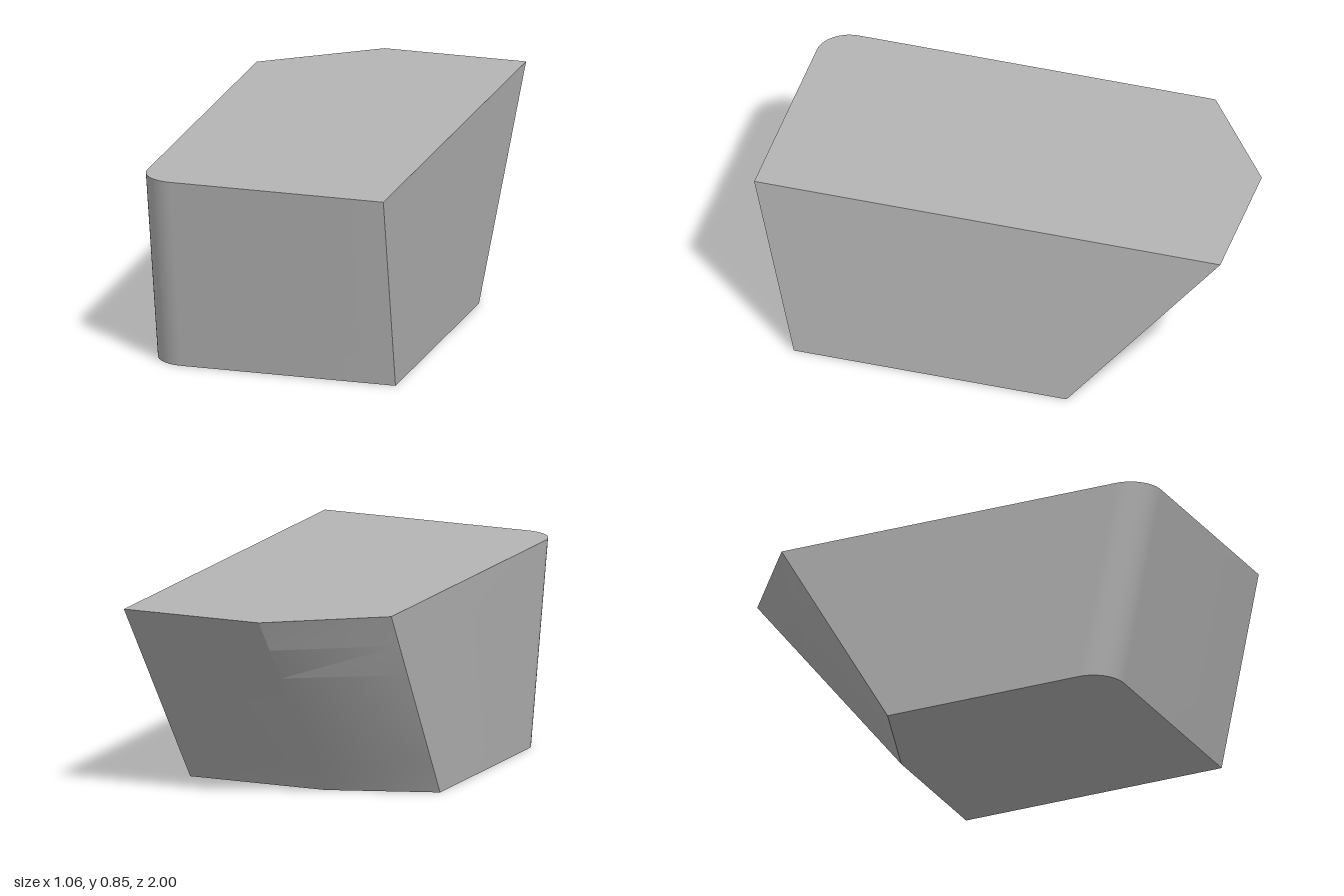
import * as THREE from 'three';
import { toCreasedNormals } from 'three/addons/utils/BufferGeometryUtils.js';

const HALF_WIDTH = 0.53, HEIGHT = 0.845, RADIUS = 0.14;
const ROWS = 6, ARC_STEPS = 14;

// Plan outline at height fraction t: slanted back, cut back corner, rounded front corner
function outline(t) {
  const mix = (a, b) => THREE.MathUtils.lerp(a, b, t);
  const front = mix(0.83, 1), back = mix(-0.34, -1), cut = mix(-0.185, -0.67);
  const points = [[HALF_WIDTH, back], [-0.08, back], [-HALF_WIDTH, cut]];
  for (let i = 0; i <= ARC_STEPS; i++) {
    const a = (i / ARC_STEPS) * Math.PI / 2;
    points.push([
      -HALF_WIDTH + RADIUS * (1 - Math.cos(a)),
      front - RADIUS * (1 - Math.sin(a)),
    ]);
  }
  points.push([HALF_WIDTH, front]);
  return points.map(([x, z]) => [x, HEIGHT * t, z]);
}

// Solid lofted through stacked outlines, closed by flat caps
function loftGeometry() {
  const positions = [], indices = [];
  const count = outline(0).length;
  for (let r = 0; r <= ROWS; r++) positions.push(...outline(r / ROWS).flat());
  for (let r = 0; r < ROWS; r++) {
    for (let i = 0; i < count; i++) {
      const a = r * count + i, b = r * count + (i + 1) % count;
      indices.push(a, b, b + count, a, b + count, a + count);
    }
  }
  const top = ROWS * count;
  for (let i = 1; i < count - 1; i++) {
    indices.push(0, i + 1, i, top, top + i, top + i + 1);
  }
  const geometry = new THREE.BufferGeometry();
  geometry.setAttribute('position', new THREE.Float32BufferAttribute(positions, 3));
  geometry.setIndex(indices);
  return toCreasedNormals(geometry, 0.5);
}

export function createModel() {
  const grey = new THREE.MeshStandardMaterial({ color: 0xb4b4b4 });
  grey.name = 'light grey';
  const body = new THREE.Mesh(loftGeometry(), grey);
  body.name = 'taperedBlock';
  const model = new THREE.Group();
  model.name = 'block';
  model.add(body);
  return model;
}
